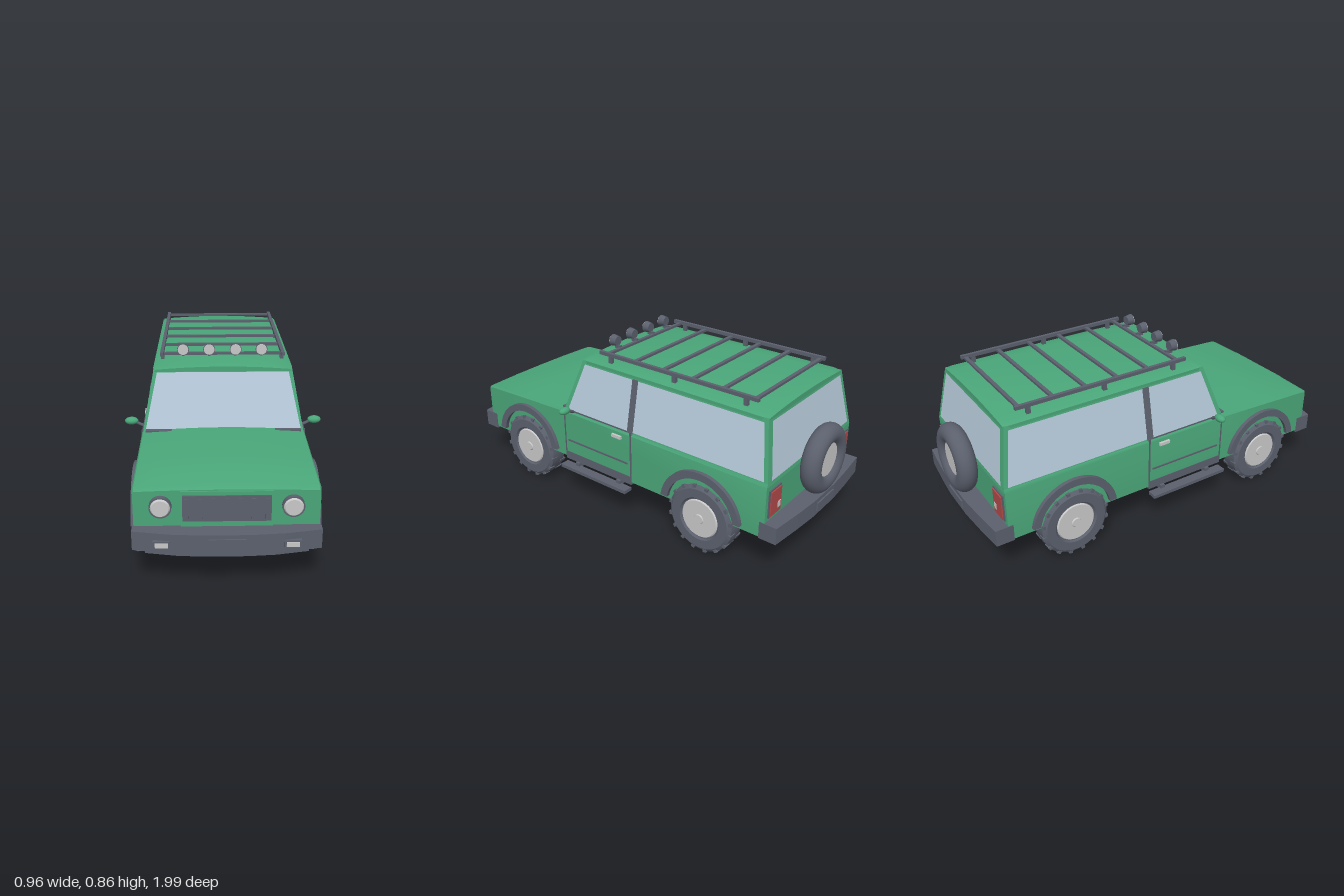
import * as THREE from 'three';
import { toCreasedNormals } from 'three/addons/utils/BufferGeometryUtils.js';

const material = (name, color) => Object.assign(new THREE.MeshStandardMaterial({ color }), { name });

export function createModel() {
  const model = new THREE.Group();
  model.name = 'offRoadCar';
  const green = material('bodyGreen', 0x4aa679);
  const dark = material('darkTrim', 0x5b606d);
  const glass = material('glass', 0xb5c9d9);
  const pale = material('paleGrey', 0xc8c8c8);
  const red = material('tailRed', 0xb04a4a);

  const add = (name, geometry, mat, x = 0, y = 0, z = 0, parent = model) => {
    const mesh = new THREE.Mesh(geometry, mat);
    mesh.name = name;
    mesh.position.set(x, y, z);
    parent.add(mesh);
    return mesh;
  };
  // box given by its ranges
  const box = (name, mat, x0, x1, y0, y1, z0, z1) =>
    add(name, new THREE.BoxGeometry(Math.abs(x1 - x0), y1 - y0, Math.abs(z1 - z0)), mat,
      (x0 + x1) / 2, (y0 + y1) / 2, (z0 + z1) / 2);
  const fromTriangles = (points) =>
    new THREE.BufferGeometry().setFromPoints(points.map((p) => new THREE.Vector3(...p)));
  // capped skin over matching loops
  const loft = (loops, crease = 0.5) => {
    const tris = [];
    const n = loops[0].length;
    const centre = (l) => [0, 1, 2].map((k) => l.reduce((s, p) => s + p[k], 0) / n);
    const first = loops[0], last = loops[loops.length - 1];
    for (let j = 0; j < n; j++) {
      const k = (j + 1) % n;
      for (let i = 0; i < loops.length - 1; i++) {
        const a = loops[i], b = loops[i + 1];
        tris.push(a[j], b[j], a[k], a[k], b[j], b[k]);
      }
      tris.push(centre(first), first[j], first[k], centre(last), last[k], last[j]);
    }
    return toCreasedNormals(fromTriangles(tris), crease);
  };
  // flat quad, corners counter-clockwise from outside
  const panel = (name, mat, [a, b, c, d]) => {
    const g = fromTriangles([a, b, c, a, c, d]);
    g.computeVertexNormals();
    return add(name, g, mat);
  };
  // plan outline [x, z] raised from y0 to y1
  const slab = (name, mat, outline, y0, y1) => {
    const shape = new THREE.Shape(outline.map(([x, z]) => new THREE.Vector2(x, -z)));
    const g = new THREE.ExtrudeGeometry(shape, { depth: y1 - y0, bevelEnabled: false });
    return add(name, g.rotateX(-Math.PI / 2), mat, 0, y0, 0);
  };

  // section across the car with a crowned top
  const crowned = (z, w, bottom, shoulder, topW, edge, crown) => {
    const loop = [[-w, bottom, z], [w, bottom, z], [w, shoulder, z]];
    for (let i = 0; i <= 10; i++) {
      const t = 1 - i / 5;
      loop.push([topW * t, edge + (crown - edge) * (1 - t * t), z]);
    }
    loop.push([-w, shoulder, z]);
    return loop;
  };

  // lower body with hood
  add('lowerBody', loft([
    crowned(0.9, 0.392, 0.21, 0.435, 0.386, 0.445, 0.452),
    crowned(0.875, 0.395, 0.21, 0.445, 0.388, 0.454, 0.464),
    crowned(0.6, 0.395, 0.21, 0.455, 0.388, 0.465, 0.48),
    crowned(0.31, 0.395, 0.21, 0.465, 0.388, 0.477, 0.492),
    crowned(-0.89, 0.395, 0.21, 0.465, 0.388, 0.48, 0.482),
  ]), green);

  // cabin planes
  const sideX = (y) => 0.388 - 0.185 * (y - 0.48);
  const frontZ = (y) => 0.312 - 0.36 * (y - 0.48);
  const rearZ = (y) => -0.89 + 0.17 * (y - 0.48);
  const cabinLoop = (y) => {
    const x = sideX(y), f = frontZ(y), r = rearZ(y);
    return [[x, y, f], [x, y, r], [-x, y, r], [-x, y, f]];
  };
  add('cabin', loft([cabinLoop(0.755), cabinLoop(0.465)]), green);
  add('roof', loft([
    crowned(0.217, 0.333, 0.745, 0.752, 0.325, 0.756, 0.77),
    crowned(0.185, 0.34, 0.742, 0.756, 0.328, 0.762, 0.779),
    crowned(-0.3, 0.34, 0.742, 0.757, 0.328, 0.764, 0.787),
    crowned(-0.81, 0.34, 0.742, 0.756, 0.328, 0.762, 0.779),
    crowned(-0.846, 0.333, 0.745, 0.752, 0.325, 0.756, 0.77),
  ]), green);

  // windscreen and rear window
  panel('windscreen', glass, [[-0.376, 0.484], [0.376, 0.484], [0.32, 0.744], [-0.32, 0.744]]
    .map(([x, y]) => [x, y, frontZ(y) + 0.004]));
  panel('rearWindow', glass, [[0.36, 0.487], [-0.36, 0.487], [-0.312, 0.738], [0.312, 0.738]]
    .map(([x, y]) => [x, y, rearZ(y) - 0.004]));

  for (const s of [1, -1]) {
    const side = s > 0 ? 'left' : 'right';
    const sidePanel = (name, mat, corners, lift) => {
      const pts = corners.map(([z, y]) => [s * (sideX(y) + lift), y, z]);
      panel(side + name, mat, s > 0 ? pts : pts.reverse());
    };
    sidePanel('DoorWindow', glass, [[0.283, 0.486], [-0.114, 0.486], [-0.114, 0.737], [0.196, 0.737]], 0.004);
    sidePanel('RearSideWindow', glass, [[-0.146, 0.486], [-0.872, 0.486], [-0.828, 0.737], [-0.146, 0.737]], 0.004);
    sidePanel('Pillar', dark, [[-0.112, 0.48], [-0.148, 0.48], [-0.148, 0.742], [-0.112, 0.742]], 0.006);

    // door seams, trim and handle
    const strip = (name, mat, y0, y1, z0, z1, out = 0.398) =>
      box(side + name, mat, s * 0.385, s * out, y0, y1, z0, z1);
    strip('DoorFrontSeam', dark, 0.24, 0.48, 0.305, 0.311);
    strip('DoorRearSeam', dark, 0.24, 0.485, -0.139, -0.131);
    strip('DoorTopSeam', dark, 0.479, 0.486, -0.139, 0.305, 0.393);
    strip('DoorTrim', dark, 0.306, 0.314, -0.115, 0.285, 0.4);
    strip('DoorHandle', pale, 0.433, 0.449, -0.08, -0.022, 0.407);

    // side step
    box(side + 'Step', dark, s * 0.395, s * 0.445, 0.165, 0.182, -0.135, 0.305);
    for (const z of [-0.06, 0.22]) box(side + 'StepBracket', dark, s * 0.35, s * 0.41, 0.175, 0.2, z - 0.012, z + 0.012);

    // wing mirror
    const arm = new THREE.LineCurve3(new THREE.Vector3(s * 0.38, 0.475, 0.25), new THREE.Vector3(s * 0.43, 0.5, 0.25));
    add(side + 'MirrorArm', new THREE.TubeGeometry(arm, 1, 0.008, 8), dark);
    add(side + 'Mirror', new THREE.SphereGeometry(1, 20, 14).scale(0.033, 0.019, 0.022), green, s * 0.449, 0.506, 0.25);

    // headlamp, bumper lamp and cowl vent
    add(side + 'HeadlampRim', new THREE.CylinderGeometry(0.047, 0.047, 0.035, 32).rotateX(Math.PI / 2), dark, s * 0.277, 0.38, 0.905);
    add(side + 'Headlamp', new THREE.CylinderGeometry(0.036, 0.042, 0.008, 32).rotateX(Math.PI / 2), pale, s * 0.277, 0.38, 0.926);
    box(side + 'BumperLampFrame', dark, s * 0.235, s * 0.309, 0.22, 0.255, 0.93, 0.98);
    box(side + 'BumperLamp', pale, s * 0.245, s * 0.299, 0.226, 0.248, 0.975, 0.983);
    box(side + 'CowlVent', dark, s * 0.25, s * 0.375, 0.475, 0.486, 0.315, 0.337);

    // tail lamp
    box(side + 'TailLampFrame', dark, s * 0.275, s * 0.375, 0.305, 0.44, -0.885, -0.896);
    box(side + 'TailLamp', red, s * 0.282, s * 0.368, 0.312, 0.433, -0.894, -0.902);
    box(side + 'ReverseLamp', pale, s * 0.29, s * 0.312, 0.335, 0.365, -0.9, -0.904);

    for (const [end, z] of [['Front', 0.585], ['Rear', -0.556]]) {
      // wheel arch flare
      const arch = new THREE.Shape();
      arch.absarc(0, 0, 0.223, 0.14, Math.PI - 0.14, false);
      arch.absarc(0, 0, 0.186, Math.PI - 0.16, 0.16, true);
      const flare = new THREE.ExtrudeGeometry(arch, { depth: 0.035, bevelEnabled: false, curveSegments: 28 });
      add(side + end + 'Arch', toCreasedNormals(flare.rotateY(Math.PI / 2), 0.5), dark, s > 0 ? 0.38 : -0.415, 0.2, z);

      // wheel, outer face towards local +y
      const wheel = new THREE.Group();
      wheel.name = side + end + 'Wheel';
      wheel.position.set(s * 0.357, 0.178, z);
      wheel.rotation.z = -s * Math.PI / 2;
      model.add(wheel);
      const profile = [[0, -0.04], [0.1, -0.04], [0.11, -0.054], [0.155, -0.054], [0.172, -0.04], [0.175, 0],
        [0.172, 0.04], [0.155, 0.054], [0.11, 0.054], [0.103, 0.045], [0, 0.045]];
      const tyre = new THREE.LatheGeometry(profile.map((p) => new THREE.Vector2(...p)), 40);
      add('tyre', toCreasedNormals(tyre, 0.6), dark, 0, 0, 0, wheel);
      add('rim', new THREE.CylinderGeometry(0.094, 0.101, 0.008, 36), pale, 0, 0.047, 0, wheel);
      add('hubCap', new THREE.CylinderGeometry(0.022, 0.026, 0.006, 20), pale, 0, 0.053, 0, wheel);
      for (let i = 0; i < 32; i++) {
        const a = (i / 32) * Math.PI * 2;
        const lug = add('treadLug', new THREE.BoxGeometry(0.016, 0.036, 0.018), dark,
          Math.cos(a) * 0.1685, i % 2 ? 0.032 : -0.032, Math.sin(a) * 0.1685, wheel);
        lug.rotation.y = -a;
      }
    }

    // roof rack rail and feet
    box(side + 'RackRail', dark, s * 0.291, s * 0.308, 0.797, 0.814, -0.772, 0.13);
    for (const z of [0.06, -0.325, -0.71]) box(side + 'RackFoot', dark, s * 0.291, s * 0.308, 0.755, 0.8, z - 0.01, z + 0.01);
  }

  // rack crossbars and roof lamps
  for (let i = 0; i < 6; i++) {
    const z = 0.09 - i * 0.168;
    box('rackCrossbar', dark, -0.3, 0.3, 0.795, 0.807, z - 0.009, z + 0.009);
  }
  for (const x of [-0.194, -0.066, 0.064, 0.191]) {
    add('roofLampHousing', new THREE.CylinderGeometry(0.029, 0.024, 0.034, 24).rotateX(Math.PI / 2), dark, x, 0.835, 0.126);
    add('roofLampLens', new THREE.CylinderGeometry(0.026, 0.026, 0.005, 24).rotateX(Math.PI / 2), pale, x, 0.835, 0.144);
    box('roofLampStem', dark, x - 0.006, x + 0.006, 0.798, 0.815, 0.09, 0.128);
  }

  // grille
  box('grillePanel', green, -0.193, 0.193, 0.285, 0.447, 0.88, 0.908);
  box('grille', dark, -0.186, 0.186, 0.312, 0.43, 0.9, 0.914);
  for (let i = 0; i < 7; i++) {
    const x = -0.168 + i * 0.056;
    box('grilleSlat', dark, x - 0.009, x + 0.009, 0.325, 0.418, 0.91, 0.919);
  }

  // bumpers
  const bumper = (w, inner, corner, mid, tip) =>
    [[-w, inner], [-w, corner], [-w * 0.6, mid], [-w * 0.25, tip], [w * 0.25, tip], [w * 0.6, mid], [w, corner], [w, inner]];
  slab('frontBumper', dark, bumper(0.398, 0.86, 0.945, 0.974, 0.985), 0.198, 0.286);
  slab('frontBumperLip', dark, bumper(0.345, 0.88, 0.94, 0.966, 0.975), 0.18, 0.2);
  box('frontPlateMount', dark, -0.078, 0.078, 0.218, 0.268, 0.96, 0.992);
  slab('rearBumper', dark, bumper(0.398, -0.865, -0.952, -0.968, -0.978), 0.205, 0.288);
  slab('rearBumperLip', dark, bumper(0.345, -0.88, -0.94, -0.955, -0.962), 0.188, 0.206);
  box('rearPlateMount', dark, -0.078, 0.078, 0.225, 0.268, -0.96, -0.985);

  // floor and sills
  box('floorAndSills', dark, -0.397, 0.397, 0.196, 0.24, -0.137, 0.31);

  // spare wheel
  add('spareTyre', new THREE.TorusGeometry(0.121, 0.048, 20, 44), dark, 0, 0.46, -0.951);
  add('spareWheelBack', new THREE.CylinderGeometry(0.1, 0.1, 0.05, 32).rotateX(Math.PI / 2), dark, 0, 0.46, -0.94);
  add('spareRim', new THREE.CylinderGeometry(0.088, 0.088, 0.014, 36).rotateX(Math.PI / 2), pale, 0, 0.46, -0.97);
  box('spareMount', dark, -0.05, 0.05, 0.4, 0.52, -0.87, -0.93);

  return model;
}
